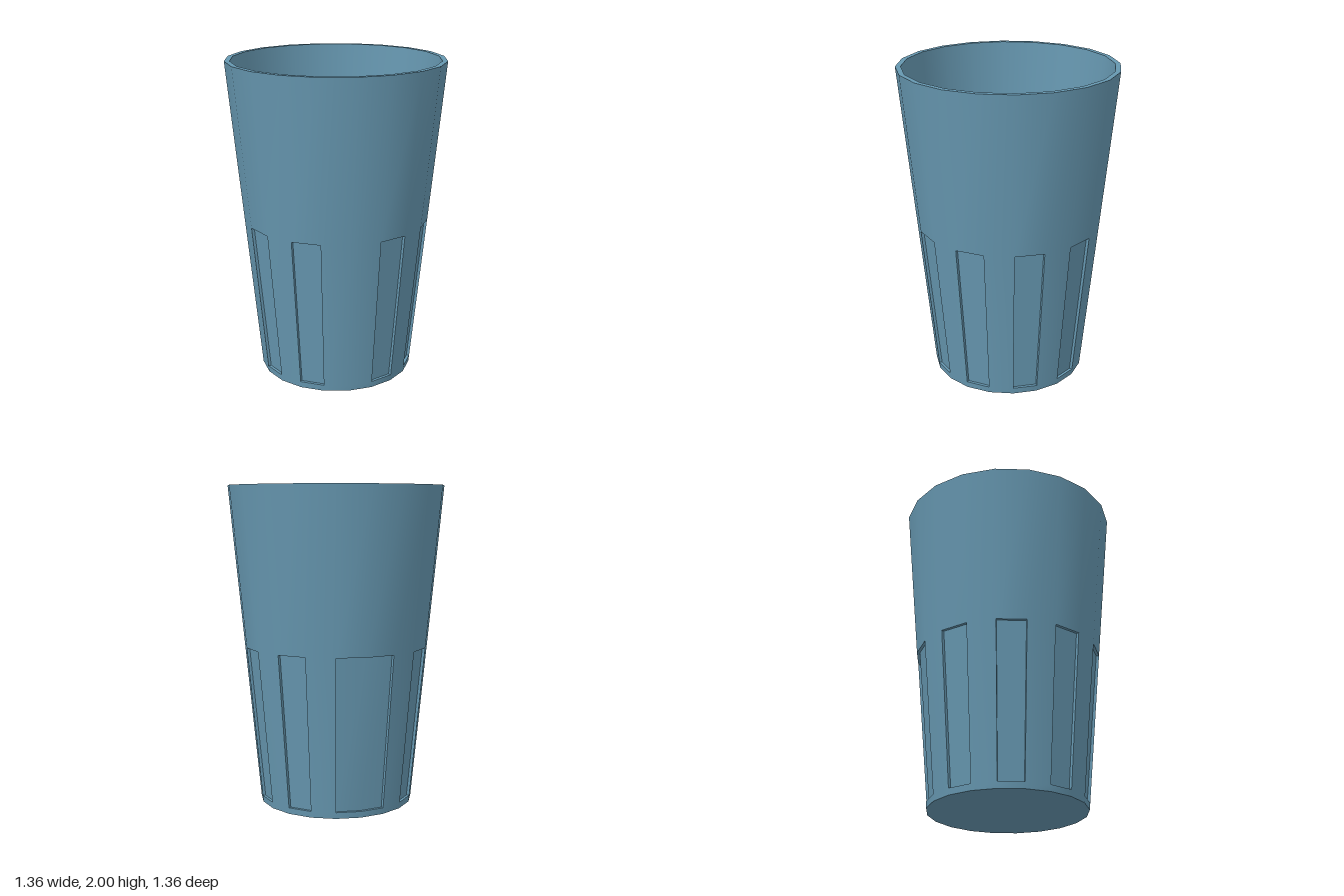
import * as THREE from 'three';
import { toCreasedNormals } from 'three/addons/utils/BufferGeometryUtils.js';

const SIDES = 20, STEP = (Math.PI * 2) / SIDES;
const LOW = 0.04, HIGH = 1.0, DEPTH = 0.018;
const outerR = (y) => 0.488 + 0.095 * y;

// Facets that are pressed in, counted from the front; two adjoin at the back
const RECESSED = new Set([1, 3, 5, 7, 9, 10, 12, 14, 16, 18]);
const isRecessed = (i) => RECESSED.has((i + SIDES) % SIDES);

// Point on facet corner i at a [radius, height] of the profile
const corner = (i, [r, y]) => {
  const a = (i % SIDES) * STEP;
  return [r * Math.sin(a), y, r * Math.cos(a)];
};

function pushQuad(out, a, b, c, d) {
  out.push(...a, ...b, ...c, ...a, ...c, ...d);
}

// Sweep a profile over one facet
function pushFacet(out, i, profile) {
  for (let k = 0; k < profile.length - 1; k++) {
    const p = profile[k], q = profile[k + 1];
    const a = corner(i, p), b = corner(i + 1, p), c = corner(i + 1, q), d = corner(i, q);
    if (p[0] === 0) out.push(...a, ...c, ...d);
    else if (q[0] === 0) out.push(...a, ...b, ...c);
    else pushQuad(out, a, b, c, d);
  }
}

function makeMesh(name, positions, material) {
  const g = new THREE.BufferGeometry();
  g.setAttribute('position', new THREE.Float32BufferAttribute(positions, 3));
  const mesh = new THREE.Mesh(toCreasedNormals(g, Math.PI / 5), material);
  mesh.name = name;
  return mesh;
}

export function createModel() {
  const group = new THREE.Group();
  group.name = 'tumbler';
  const blue = new THREE.MeshStandardMaterial({ color: 0x6697b0 });
  blue.name = 'dusty blue';

  const lowOut = [outerR(LOW), LOW], highOut = [outerR(HIGH), HIGH];
  const lowIn = [lowOut[0] - DEPTH, LOW], highIn = [highOut[0] - DEPTH, HIGH];
  const foot = [outerR(0), 0], lip = [outerR(2), 2], innerLip = [0.645, 2], floor = [0.47, 0.06];

  // Outer wall with pressed-in panels
  const wall = [];
  for (let i = 0; i < SIDES; i++) {
    const middle = isRecessed(i) ? [lowOut, lowIn, highIn, highOut] : [lowOut, highOut];
    pushFacet(wall, i, [foot, ...middle, lip]);
    // Side steps of each panel
    if (isRecessed(i) !== isRecessed(i - 1)) {
      const q = [lowOut, lowIn, highIn, highOut].map((p) => corner(i, p));
      pushQuad(wall, ...(isRecessed(i) ? q : q.reverse()));
    }
  }
  group.add(makeMesh('outerWall', wall, blue));

  // Remaining surfaces, swept all the way round
  const parts = {
    base: [[0, 0], foot],
    rim: [lip, innerLip],
    innerWall: [innerLip, floor],
    innerFloor: [floor, [0, floor[1]]],
  };
  for (const [name, profile] of Object.entries(parts)) {
    const positions = [];
    for (let i = 0; i < SIDES; i++) pushFacet(positions, i, profile);
    group.add(makeMesh(name, positions, blue));
  }
  return group;
}
